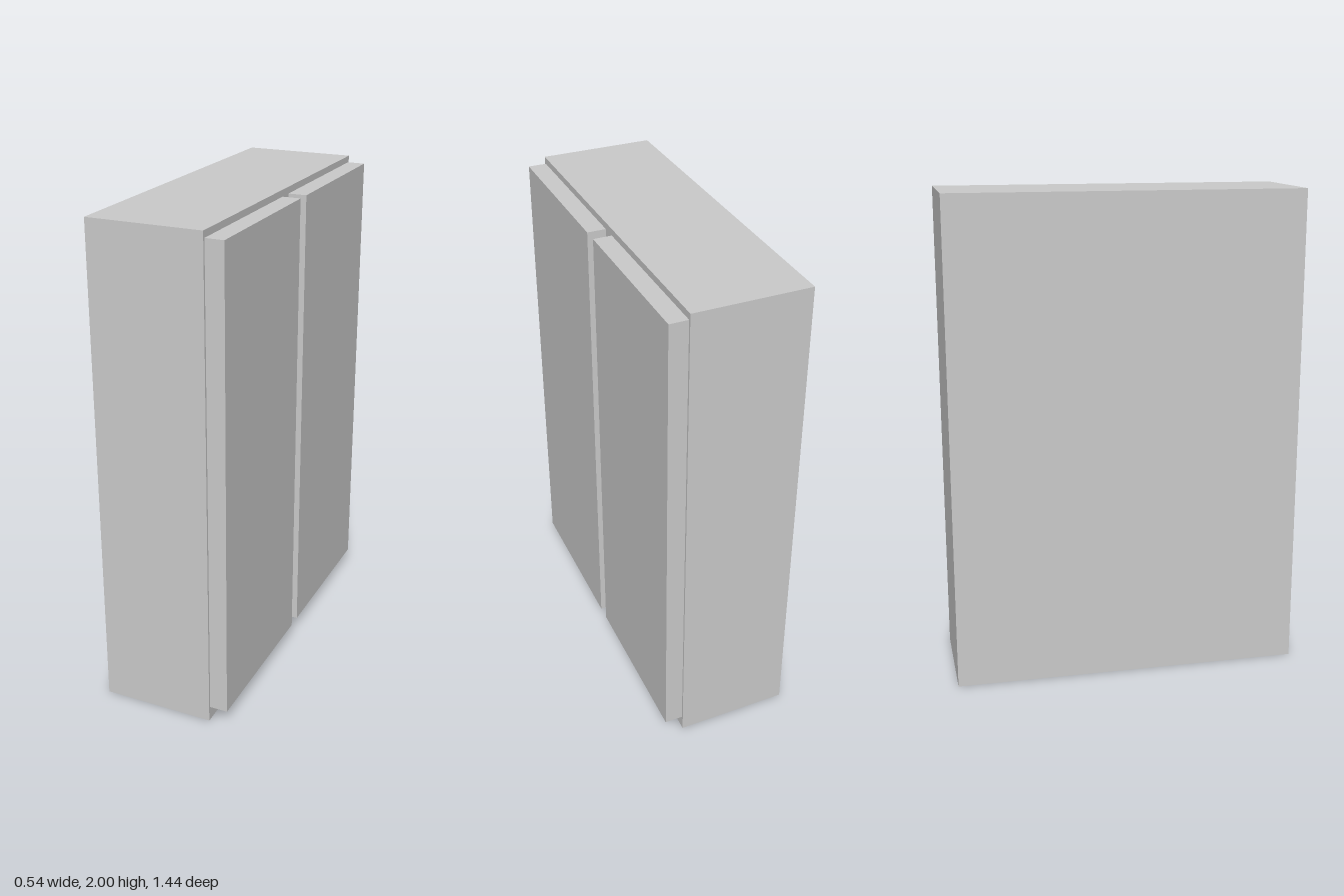
import * as THREE from 'three';

const material = new THREE.MeshStandardMaterial({ color: 0xcccccc, flatShading: true });

// Box given by its lower and upper bounds on each axis
function boxBetween(name, [x0, x1], [y0, y1], [z0, z1]) {
  const mesh = new THREE.Mesh(new THREE.BoxGeometry(x1 - x0, y1 - y0, z1 - z0), material);
  mesh.position.set((x0 + x1) / 2, (y0 + y1) / 2, (z0 + z1) / 2);
  mesh.name = name;
  return mesh;
}

export function createModel() {
  const group = new THREE.Group();
  group.name = 'cabinet';

  const frontX = 0.194; // plane where the doors meet the body

  // Cabinet body
  group.add(boxBetween('cabinetBody', [-0.268, frontX], [0, 2], [-0.718, 0.718]));

  // Pair of doors on the +x side, with a narrow gap between them
  const doorX = [frontX, 0.268];
  const doorY = [0.06, 1.973];
  group.add(boxBetween('nearDoor', doorX, doorY, [0.03, 0.709]));
  group.add(boxBetween('farDoor', doorX, doorY, [-0.709, -0.03]));

  return group;
}
